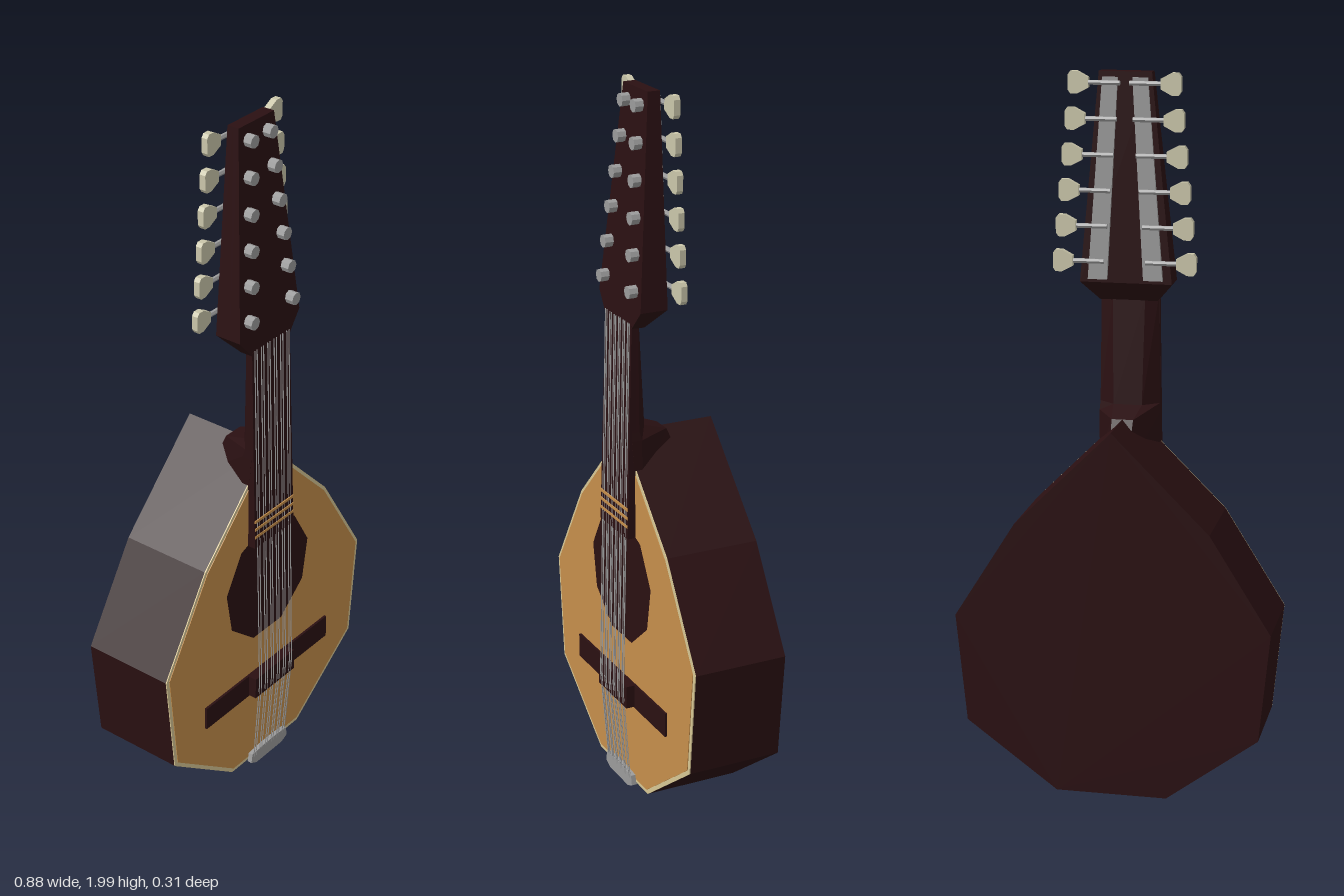
import * as THREE from 'three';

const mat = (name, color, side = THREE.FrontSide) => {
  const m = new THREE.MeshStandardMaterial({ color, side });
  m.name = name;
  return m;
};

// Mirrored outline shape from right-hand points
function mirrored(points, scale = 1, cy = 0) {
  const left = points.map(([x, y]) => [-x, y]).reverse().filter(([x]) => Math.abs(x) > 1e-6);
  return new THREE.Shape([...points, ...left].map(([x, y]) => new THREE.Vector2(x * scale, cy + (y - cy) * scale)));
}

function slab(shape, z0, z1) {
  return new THREE.ExtrudeGeometry(shape, { depth: z1 - z0, bevelEnabled: false }).translate(0, 0, z0);
}

// Faceted solid through trapezoid sections: [y, front half width, front z, back half width, back z, shoulder z]
function loft(sections) {
  const rings = sections.map(([y, fw, fz, bw, bz, sz]) =>
    [[fw, fz], [fw, sz], [bw, bz], [-bw, bz], [-fw, sz], [-fw, fz]].map(([x, z]) => [x, y, z]));
  const pos = [];
  const n = 6;
  const tri = (a, b, c) => pos.push(...a, ...b, ...c);
  for (let i = 0; i < rings.length - 1; i++) {
    const a = rings[i], b = rings[i + 1];
    for (let j = 0; j < n; j++) {
      const k = (j + 1) % n;
      tri(a[j], a[k], b[k]);
      tri(a[j], b[k], b[j]);
    }
  }
  const first = rings[0], last = rings[rings.length - 1];
  for (let j = 1; j < n - 1; j++) {
    tri(first[0], first[j + 1], first[j]);
    tri(last[0], last[j], last[j + 1]);
  }
  const g = new THREE.BufferGeometry();
  g.setAttribute('position', new THREE.Float32BufferAttribute(pos, 3));
  g.computeVertexNormals();
  return g;
}

// Thin rod between two points
function rod(a, b, radius, sides) {
  const p = new THREE.Vector3(...a), q = new THREE.Vector3(...b);
  const d = q.clone().sub(p);
  const g = new THREE.CylinderGeometry(radius, radius, d.length(), sides);
  g.applyQuaternion(new THREE.Quaternion().setFromUnitVectors(new THREE.Vector3(0, 1, 0), d.normalize()));
  return g.translate(...p.add(q).multiplyScalar(0.5).toArray());
}

export function createModel() {
  const wood = mat('dark wood', 0x2a1012);
  const spruce = mat('soundboard wood', 0xc68f4b);
  const cream = mat('cream binding', 0xd8c795);
  const ivory = mat('ivory buttons', 0xcbc7ab);
  const metal = mat('metal', 0x9c9c9c);
  for (const m of [wood, ivory, metal]) m.flatShading = true;

  const root = new THREE.Group();
  root.name = 'mandolin';
  const add = (name, geometry, material, parent = root) => {
    const m = new THREE.Mesh(geometry, material);
    m.name = name;
    parent.add(m);
    return m;
  };

  // Body: faceted teardrop with binding and soundboard
  const outline = [[0.155, 0.022], [0.41, 0.212], [0.44, 0.518], [0.27, 0.79], [0, 1.06]];
  add('body', slab(mirrored(outline), -0.152, 0.117), wood);
  add('binding', slab(mirrored(outline), 0.117, 0.12), cream);
  add('soundboard', slab(mirrored(outline, 0.975, 0.5), 0.12, 0.122), spruce);

  // Nine-sided sound hole
  const hole = new THREE.CircleGeometry(0.187, 9, Math.PI / 2);
  add('soundHole', hole.translate(0, 0.63, 0.1245), wood);

  // Neck with a flared heel, and the fretboard on it
  add('neck', loft([
    [0.93, 0.085, 0.12, 0.025, -0.06, 0.1],
    [1.06, 0.085, 0.13, 0.03, 0.0, 0.1],
    [1.085, 0.084, 0.13, 0.04, 0.072, 0.108],
    [1.385, 0.08, 0.122, 0.045, 0.09, 0.108],
  ]), wood);
  add('fretboard', loft([
    [0.78, 0.087, 0.146, 0.087, 0.12, 0.13],
    [1.385, 0.081, 0.128, 0.081, 0.115, 0.12],
  ]), wood);
  for (const y of [0.815, 0.84, 0.865]) {
    add('fretInlay', new THREE.BoxGeometry(0.172, 0.008, 0.004).translate(0, y, 0.1445), spruce);
  }

  // Headstock leaning back
  add('headstock', loft([
    [1.375, 0.08, 0.128, 0.08, 0.09, 0.11],
    [1.43, 0.127, 0.124, 0.127, 0.045, 0.09],
    [2.0, 0.072, 0.075, 0.072, 0.04, 0.058],
  ]), wood);

  // Tuners: back plates, posts, shafts and buttons
  const buttonShape = new THREE.Shape([
    [0, -0.014], [0.03, -0.03], [0.048, -0.03], [0.055, -0.02],
    [0.055, 0.02], [0.048, 0.03], [0.03, 0.03], [0, 0.014],
  ].map(p => new THREE.Vector2(...p)));
  for (const side of [1, -1]) {
    const tuners = new THREE.Group();
    tuners.name = side > 0 ? 'leftTuners' : 'rightTuners';
    root.add(tuners);
    const plate = [[0.05, 1.44], [0.103, 1.44], [0.062, 1.985], [0.02, 1.985]];
    const plateShape = new THREE.Shape(plate.map(([x, y]) => new THREE.Vector2(side * x, y)));
    add('tunerPlate', slab(plateShape, 0.034, 0.046), metal, tuners);
    for (let i = 0; i < 6; i++) {
      const t = i / 5;
      const y = 1.48 + 0.48 * t;
      const postX = side * (0.087 - 0.048 * t);
      const faceZ = 0.12 - 0.042 * t;
      const inner = 0.142 - 0.044 * t;
      add('tunerPost', rod([postX, y, faceZ - 0.02], [postX, y, faceZ + 0.024], 0.018, 8), metal, tuners);
      add('tunerShaft', rod([side * (inner - 0.085), y + 0.01, 0.032], [side * (inner + 0.01), y + 0.01, 0.032], 0.007, 6), metal, tuners);
      const button = add('tunerButton', slab(buttonShape, -0.009, 0.009), ivory, tuners);
      button.position.set(side * inner, y + 0.01, 0.032);
      if (side < 0) button.rotation.y = Math.PI;
    }
  }

  // Bridge with raised saddle
  add('bridge', new THREE.BoxGeometry(0.56, 0.07, 0.008).translate(0, 0.3, 0.125), wood);
  add('saddle', new THREE.BoxGeometry(0.18, 0.066, 0.032).translate(0, 0.302, 0.138), wood);

  // Tailpiece wrapping under the lower edge
  add('tailpiece', slab(mirrored([[0.06, 0.006], [0.085, 0.018], [0.08, 0.046], [0.03, 0.05]]), 0.122, 0.136), metal);
  add('tailpieceFoot', new THREE.BoxGeometry(0.13, 0.016, 0.085).translate(0, 0.014, 0.086), metal);

  // Six pairs of strings over the saddle
  for (let c = 0; c < 6; c++) {
    for (const d of [-0.005, 0.005]) {
      const x = (c - 2.5) * 0.028 + d;
      add('string', rod([x, 0.31, 0.156], [x * 0.98, 1.39, 0.131], 0.0018, 4), metal);
      add('tailString', rod([x, 0.31, 0.156], [x * 0.95, 0.03, 0.134], 0.0018, 4), metal);
    }
  }

  return root;
}
